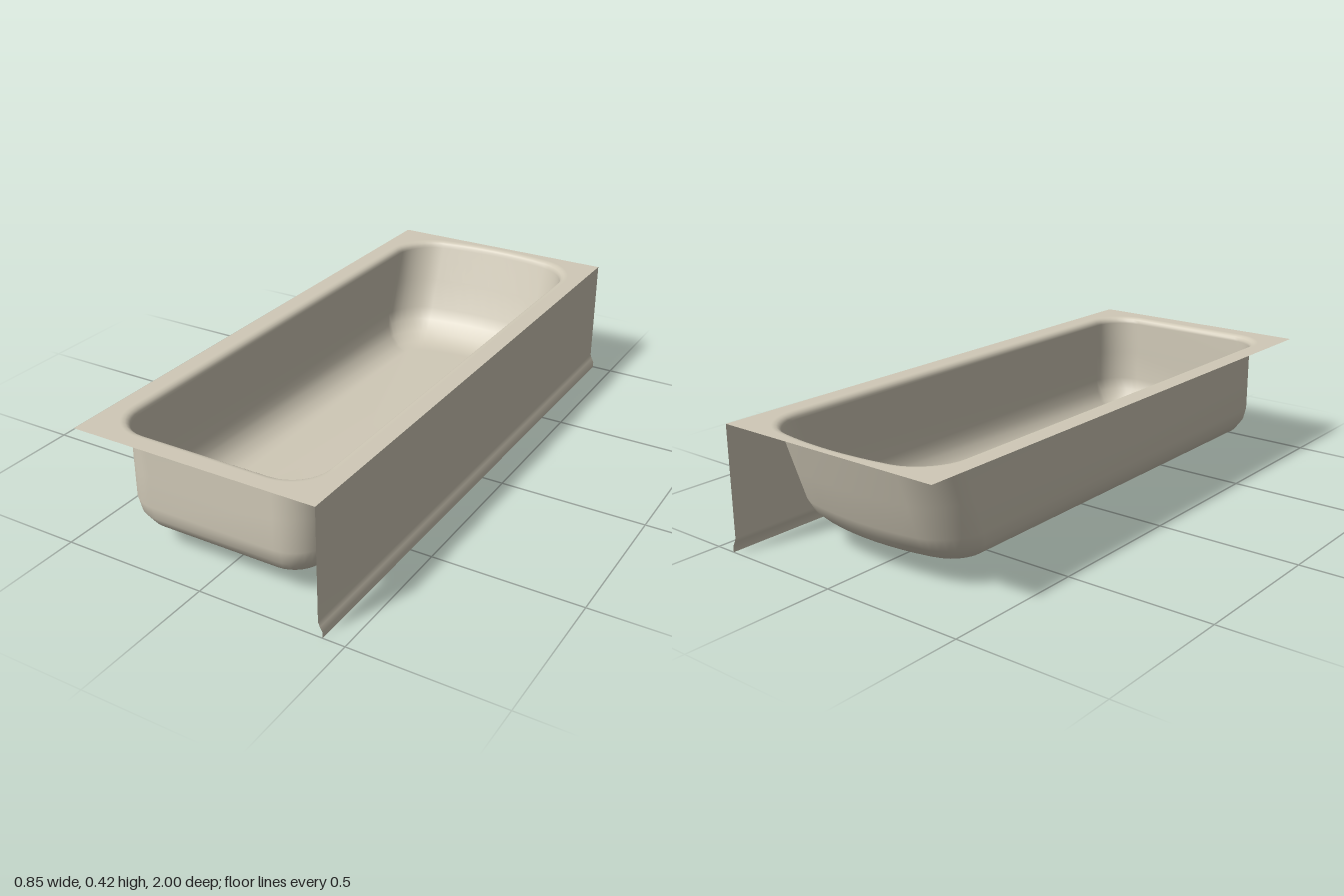
import * as THREE from 'three';

const CX = -0.007;     // basin and rim sit slightly off centre because of the skirt lip
const TOP = 0.423;     // rim height
const FLOOR = 0.055;   // basin floor height

// Joins rows of points (lower row first) into a smooth surface
function loft(rows, closed, cap) {
  const n = rows[0].length, pos = rows.flat(2), index = [];
  for (let j = 0; j < rows.length - 1; j++) {
    for (let i = 0; i < (closed ? n : n - 1); i++) {
      const k = (i + 1) % n;
      const a = j * n + i, b = j * n + k, c = a + n, d = b + n;
      index.push(a, b, c, b, d, c);
    }
  }
  if (cap) {
    pos.push(...cap);
    for (let i = 0; i < n; i++) index.push(rows.length * n, (i + 1) % n, i);
  }
  const g = new THREE.BufferGeometry();
  g.setAttribute('position', new THREE.Float32BufferAttribute(pos, 3));
  g.setIndex(index);
  g.computeVertexNormals();
  return g;
}

// Rounded plan of the basin, inset by d; the back end bows out and leans
function plan(d, y) {
  const w = 0.34 - d, front = 0.92 - d;
  const back = -0.905 + d + Math.max(0, 0.4 - y) * 0.35;
  const r = Math.max(0.03, 0.12 - 0.7 * d), pts = [];
  const bow = (x) => 0.05 * (1 - (x / w) ** 2);
  const arc = (sx, sz, start) => {
    for (let i = 0; i <= 8; i++) {
      const a = start + (i / 8) * Math.PI / 2;
      const x = sx * (w - r) + r * Math.cos(a);
      const z = (sz > 0 ? front - r : back + r) + r * Math.sin(a);
      pts.push([CX + x, y, sz > 0 ? z : z - bow(x)]);
    }
  };
  arc(1, 1, 0);
  arc(-1, 1, Math.PI / 2);
  arc(-1, -1, Math.PI);
  for (let i = 1; i < 8; i++) {
    const x = (w - r) * (i / 4 - 1);
    pts.push([CX + x, y, back - bow(x)]);
  }
  arc(1, -1, 1.5 * Math.PI);
  return pts;
}

export function createModel() {
  const group = new THREE.Group();
  group.name = 'bathtub';
  const enamel = new THREE.MeshStandardMaterial({ color: 0xd0c9b7, side: THREE.DoubleSide });
  enamel.name = 'warm beige enamel';
  const add = (name, geometry) => {
    const mesh = new THREE.Mesh(geometry, enamel);
    mesh.name = name;
    group.add(mesh);
  };

  // Basin: floor fillet, upright wall, then a small roll out to the rim
  const rows = [], R = 0.115, r = 0.022;
  for (let i = 0; i <= 4; i++) {
    const a = (i / 4) * Math.PI / 2;
    rows.push(plan(R * (1 - Math.sin(a)), FLOOR + R * (1 - Math.cos(a))));
  }
  rows.push(plan(0, 0.28));
  for (let i = 0; i <= 4; i++) {
    const a = (i / 4) * Math.PI / 2;
    rows.push(plan(-r * (1 - Math.cos(a)), TOP - r + r * Math.sin(a)));
  }
  const edge = plan(-r - 0.005, TOP);
  rows.push(edge);
  add('basin', loft(rows, true, [CX, FLOOR, 0.08]));

  // Flat rim around the basin
  const shape = new THREE.Shape();
  shape.moveTo(CX - 0.42, -1).lineTo(CX + 0.42, -1).lineTo(CX + 0.42, 1).lineTo(CX - 0.42, 1).closePath();
  shape.holes.push(new THREE.Path(edge.map(([x, , z]) => new THREE.Vector2(x, -z))));
  const rim = new THREE.ShapeGeometry(shape);
  rim.rotateX(-Math.PI / 2);
  rim.translate(0, TOP, 0);
  add('rim', rim);

  // Side skirt with a slight outward lip at the foot
  const profile = [[0.427, 0], [0.427, 0.02], [0.419, 0.035], [0.413, 0.05], [0.413, TOP]];
  add('skirt', loft(profile.map(([x, y]) => [[x, y, 1], [x, y, -1]]), false));

  return group;
}
